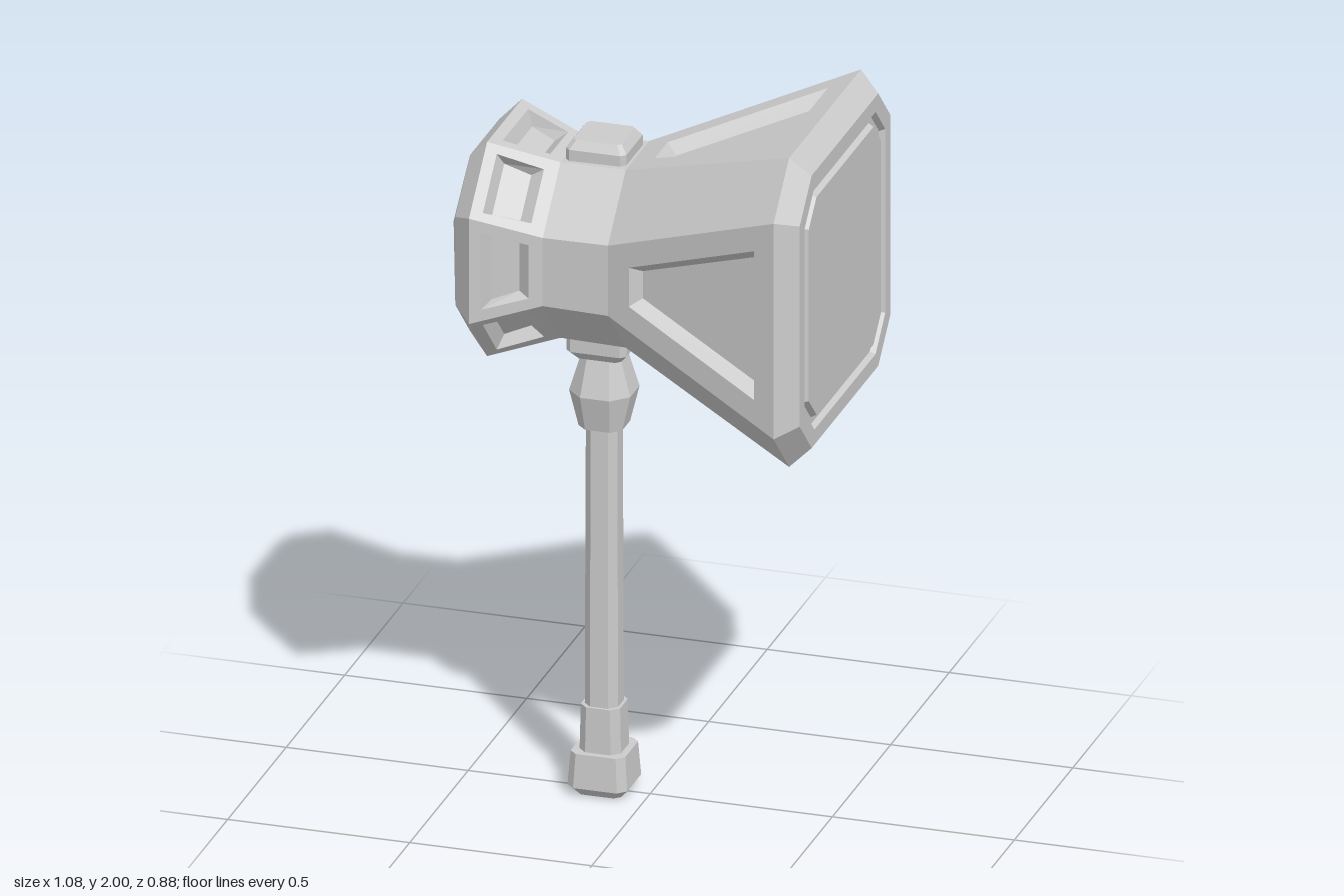
import * as THREE from 'three';

const material = new THREE.MeshStandardMaterial({ color: 0xcccccc, flatShading: true });

// Square with cut corners at height y: half width h, half length of the straight edge c
function ring([y, h, c]) {
  return [[h, c], [h, -c], [c, -h], [-c, -h], [-h, -c], [-h, c], [-c, h], [c, h]]
    .map(([x, z]) => new THREE.Vector3(x, y, z));
}

function addPolygon(out, pts) {
  for (let i = 1; i < pts.length - 1; i++) {
    for (const p of [pts[0], pts[i], pts[i + 1]]) out.push(p.x, p.y, p.z);
  }
}

// Band of four quads between two four-cornered loops
function addFrame(out, outer, inner) {
  for (let i = 0; i < 4; i++) {
    const j = (i + 1) % 4;
    addPolygon(out, [outer[i], outer[j], inner[j], inner[i]]);
  }
}

// Face with a sunken panel; rim and floor are [u0, width0, u1, width1] as fractions of the face
function addPanel(out, quad, { rim, floor, depth }) {
  const [a, b, c, d] = quad;
  const at = (u, v) => a.clone().lerp(b, v).lerp(d.clone().lerp(c, v), u);
  const loop = ([u0, w0, u1, w1]) => [
    at(u0, 0.5 - w0 / 2), at(u0, 0.5 + w0 / 2), at(u1, 0.5 + w1 / 2), at(u1, 0.5 - w1 / 2),
  ];
  const normal = b.clone().sub(a).cross(d.clone().sub(a)).normalize();
  const edge = loop(rim);
  const base = loop(floor).map((p) => p.addScaledVector(normal, -depth));
  addFrame(out, quad, edge);
  addFrame(out, edge, base);
  addPolygon(out, base);
}

// Closed loft through the sections; panelFor(section, side) may return a sunken panel
function loft(name, sections, panelFor = () => null) {
  const out = [];
  const rings = sections.map(ring);
  for (let s = 0; s < rings.length - 1; s++) {
    for (let i = 0; i < 8; i++) {
      const j = (i + 1) % 8;
      const quad = [rings[s][i], rings[s][j], rings[s + 1][j], rings[s + 1][i]];
      const panel = panelFor(s, i);
      if (panel) addPanel(out, quad, panel);
      else if (sections[s][1] === 0) addPolygon(out, [quad[0], quad[2], quad[3]]);
      else addPolygon(out, quad);
    }
  }
  if (sections[0][1] > 0) addPolygon(out, [...rings[0]].reverse());
  addPolygon(out, rings[rings.length - 1]);
  const geometry = new THREE.BufferGeometry();
  geometry.setAttribute('position', new THREE.Float32BufferAttribute(out, 3));
  geometry.computeVertexNormals();
  const mesh = new THREE.Mesh(geometry, material);
  mesh.name = name;
  return mesh;
}

export function createModel() {
  const model = new THREE.Group();
  model.name = 'warHammer';

  // Head: lofted from the rear point to the grooved striking face
  const rearPanel = { rim: [0.16, 0.77, 0.81, 0.71], floor: [0.3, 0.7, 0.68, 0.6], depth: 0.035 };
  const sidePanel = { rim: [0.126, 0.44, 0.883, 0.75], floor: [0.16, 0.29, 0.85, 0.65], depth: 0.036 };
  const head = loft('hammerHead', [
    [-0.54, 0, 0],
    [-0.455, 0.25, 0.125],
    [-0.4, 0.305, 0.15],
    [-0.215, 0.25, 0.097],
    [-0.035, 0.253, 0.1],
    [0.48, 0.44, 0.307],
    [0.535, 0.388, 0.285],
    [0.535, 0.345, 0.262],
    [0.52, 0.338, 0.257],
    [0.52, 0.317, 0.248],
    [0.535, 0.31, 0.244],
  ], (s, side) => {
    if (s === 2) return rearPanel;
    return s === 4 && side % 2 === 0 ? sidePanel : null;
  });
  head.rotation.z = -Math.PI / 2;
  head.position.y = 1.56;
  model.add(head);

  // Shaft and its fittings, stacked from the ground up
  const shaft = new THREE.Group();
  shaft.name = 'shaft';
  shaft.position.x = -0.126;
  shaft.add(
    loft('pommel', [[0, 0.06, 0.045], [0.025, 0.082, 0.06], [0.12, 0.075, 0.055]]),
    loft('ferrule', [[0.11, 0.057, 0.035], [0.247, 0.054, 0.033]]),
    loft('handle', [[0.2, 0.046, 0.025], [1.08, 0.043, 0.024]]),
    loft('grip', [[1.04, 0.06, 0.034], [1.14, 0.084, 0.04], [1.25, 0.052, 0.03]]),
    loft('collar', [[1.242, 0.062, 0.05], [1.266, 0.082, 0.068], [1.36, 0.082, 0.068]]),
    loft('topCap', [[1.76, 0.083, 0.07], [1.842, 0.083, 0.07], [1.865, 0.066, 0.056]]),
  );
  model.add(shaft);

  return model;
}
